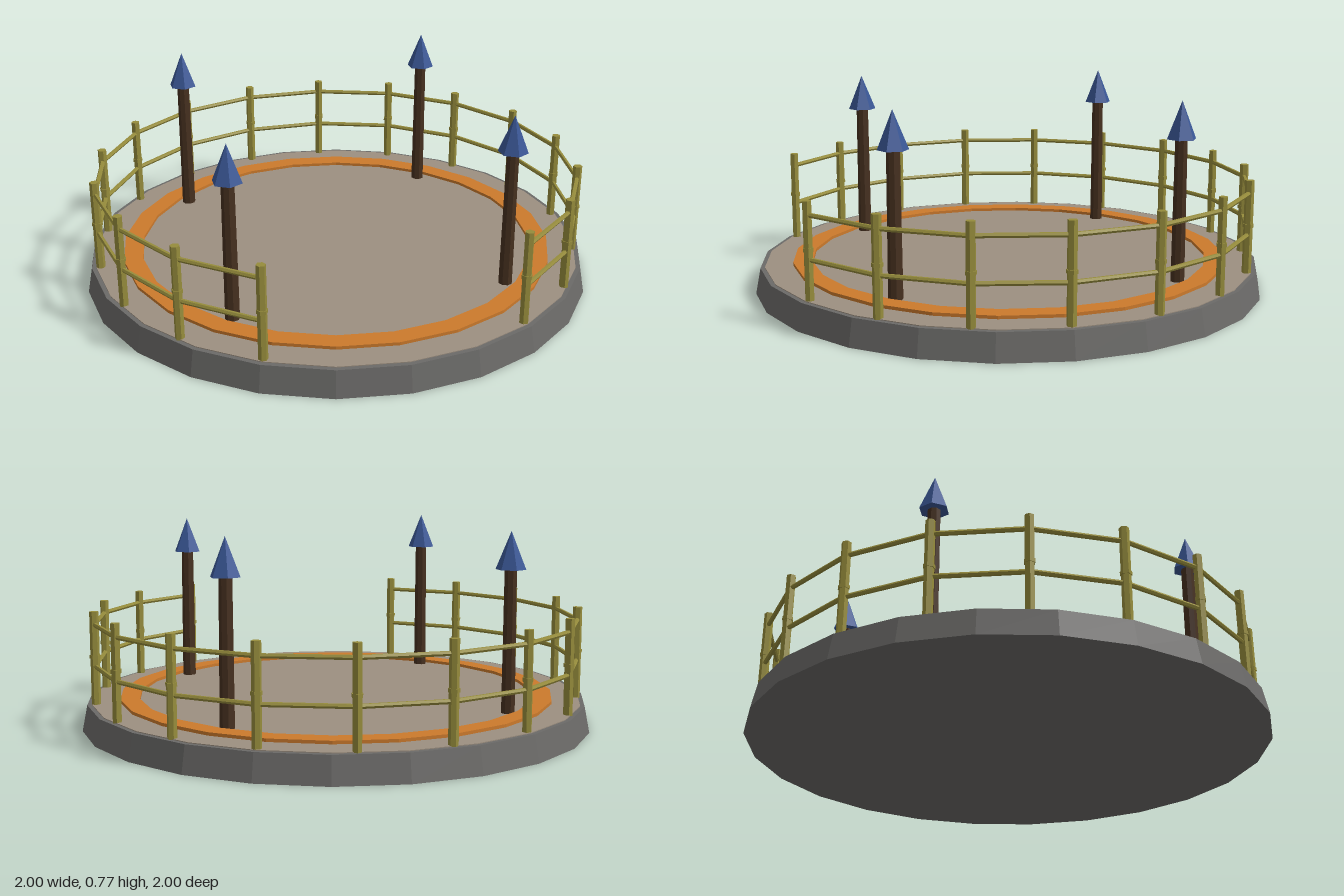
import * as THREE from 'three';

const mat = (name, color) => {
  const m = new THREE.MeshStandardMaterial({ color, flatShading: true });
  m.name = name;
  return m;
};

export function createModel() {
  const model = new THREE.Group();
  model.name = 'arena';
  const stone = mat('stone grey', 0x6b6a68);
  const sand = mat('sand', 0x9c8f80);
  const orange = mat('orange', 0xcc7a2c);
  const bamboo = mat('bamboo', 0x968c3c);
  const wood = mat('dark wood', 0x46301f);
  const blue = mat('blue', 0x3a5796);

  const add = (parent, name, geo, material, x = 0, y = 0, z = 0) => {
    const mesh = new THREE.Mesh(geo, material);
    mesh.name = name;
    mesh.position.set(x, y, z);
    parent.add(mesh);
    return mesh;
  };

  // Round platform with a thin sand floor
  add(model, 'base', new THREE.CylinderGeometry(0.98, 1, 0.1, 24), stone, 0, 0.05, 0);
  add(model, 'floor', new THREE.CylinderGeometry(0.963, 0.963, 0.006, 24), sand, 0, 0.1, 0);

  // Raised boundary ring: closed rectangular section, 24 sides
  const section = [[0.78, 0.1], [0.855, 0.1], [0.855, 0.115], [0.78, 0.115], [0.78, 0.1]]
    .map(([r, y]) => new THREE.Vector2(r, y));
  add(model, 'boundaryRing', new THREE.LatheGeometry(section, 24), orange);

  // Fence: posts every 20 degrees, open at the front
  const fence = new THREE.Group();
  fence.name = 'fence';
  model.add(fence);
  const postGeo = new THREE.CylinderGeometry(0.0175, 0.0175, 0.36, 6);
  const nodeGeo = new THREE.CylinderGeometry(0.0205, 0.0205, 0.014, 6);
  const R = 0.945;
  const step = Math.PI / 9;
  const railLength = 2 * R * Math.sin(step / 2);
  const railGeo = new THREE.CylinderGeometry(0.009, 0.009, railLength, 6).rotateZ(Math.PI / 2);
  for (let i = 0; i < 16; i++) {
    const a = (i + 1.5) * step; // measured from +z
    const x = R * Math.sin(a), z = R * Math.cos(a);
    add(fence, 'fencePost', postGeo, bamboo, x, 0.28, z).rotation.y = a;
    add(fence, 'postKnot', nodeGeo, bamboo, x, 0.287, z).rotation.y = a;
    if (i === 15) continue;
    const mid = a + step / 2;
    const d = R * Math.cos(step / 2);
    for (const y of [0.25, 0.41]) {
      add(fence, 'fenceRail', railGeo, bamboo, d * Math.sin(mid), y, d * Math.cos(mid)).rotation.y = mid;
    }
  }

  // Four pillars with pointed caps
  const pillarGeo = new THREE.CylinderGeometry(0.024, 0.027, 0.54, 8);
  const capGeo = new THREE.ConeGeometry(0.056, 0.14, 6);
  for (const sx of [-1, 1]) {
    for (const sz of [-1, 1]) {
      const pillar = new THREE.Group();
      pillar.name = 'pillar';
      pillar.position.set(sx * 0.523, 0, sz * 0.523);
      model.add(pillar);
      add(pillar, 'pillarShaft', pillarGeo, wood, 0, 0.37, 0);
      add(pillar, 'pillarCap', capGeo, blue, 0, 0.705, 0);
    }
  }
  return model;
}
